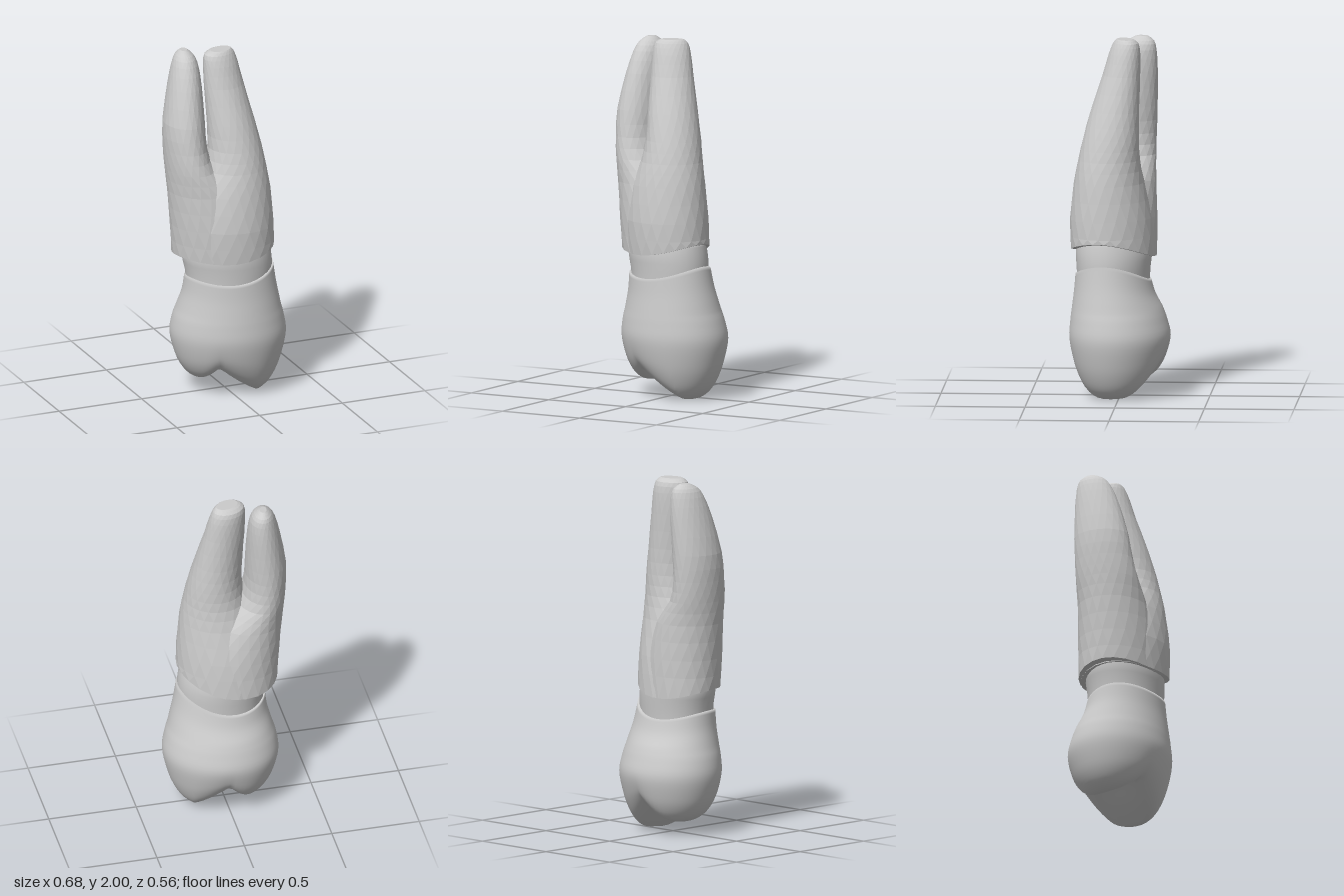
import * as THREE from 'three';

// One-dimensional Catmull-Rom interpolation
function spline(a, b, c, d, t) {
  const m0 = (c - a) / 2, m1 = (d - b) / 2;
  return (2 * t ** 3 - 3 * t * t + 1) * b + (t ** 3 - 2 * t * t + t) * m0
    + (3 * t * t - 2 * t ** 3) * c + (t ** 3 - t * t) * m1;
}

// Closed loft through skewed ellipses given bottom to top as [y, xMin, xMax, zMin, zMax].
// skew is [bottom, top]; warp(x, y, z, v) returns the new height, v runs 0..1 up the loft.
function loft(name, rows, { sides, steps, skew, flat = false, warp = (x, y) => y }) {
  const last = (rows.length - 1) * steps, pos = [], index = [];
  const row = i => rows[Math.min(Math.max(i, 0), rows.length - 1)];
  const add = (x, y, z, v) => pos.push(x, warp(x, y, z, v), z);
  const centres = [];
  for (let i = 0; i <= last; i++) {
    const k = Math.floor(i / steps), t = i / steps - k;
    const [y, x0, x1, z0, z1] = row(k).map((_, c) =>
      spline(row(k - 1)[c], row(k)[c], row(k + 1)[c], row(k + 2)[c], t));
    const cx = (x0 + x1) / 2, cz = (z0 + z1) / 2;
    const phase = Math.asin(THREE.MathUtils.lerp(skew[0], skew[1], i / last));
    if (i === 0 || i === last) centres.push([cx, y, cz, i / last]);
    for (let j = 0; j < sides; j++) {
      const a = (j + (flat ? (i % 2) / 2 : 0)) / sides * Math.PI * 2;
      add(cx + (x1 - x0) / 2 * Math.cos(a), y, cz + (z1 - z0) / 2 * Math.sin(a + phase), i / last);
    }
  }
  centres.forEach(c => add(...c));
  const bottom = (last + 1) * sides, top = bottom + 1;
  for (let j = 0; j < sides; j++) {
    const n = (j + 1) % sides;
    for (let i = 0; i < last; i++) {
      const a = i * sides + j, b = i * sides + n, c = a + sides, d = b + sides;
      // Staggered rows alternate the diagonal
      if (flat && i % 2) index.push(a, c, d, a, d, b);
      else index.push(a, c, b, b, c, d);
    }
    index.push(bottom, j, n, top, last * sides + n, last * sides + j);
  }
  const geometry = new THREE.BufferGeometry();
  geometry.setAttribute('position', new THREE.Float32BufferAttribute(pos, 3));
  geometry.setIndex(index);
  geometry.computeVertexNormals();
  const mesh = new THREE.Mesh(geometry,
    new THREE.MeshStandardMaterial({ color: 0xcccccc, flatShading: flat }));
  mesh.name = name;
  return mesh;
}

// Wavy lower edge of the roots and wavy upper edge of the crown
const rootEdge = (x, z) => 0.795 + 0.7 * (x + 0.08) ** 2 + 0.08 * z;
const crownEdge = (x, z) => 0.665 + 0.9 * (x + 0.05) ** 2 + 0.07 * z;

// Two cusps of unequal height with a groove and a central pit between them
function crownWarp(x, y, z) {
  const u = x + 0.2 * z;
  const tall = 0.65 * Math.max(0.17 - u, 0) + 0.6 * (z - 0.08) ** 2;
  const short = 0.07 + 6 * Math.max(u + 0.16, 0) ** 2 + 0.6 * (z + 0.08) ** 2;
  const pit = 0.03 * Math.exp(-((u + 0.05) ** 2) / 0.006 - z * z / 0.015);
  const low = y + (Math.min(tall, short) + pit) * Math.max(0, 1 - y / 0.45) ** 2;
  // Stretch the top rows to meet the wavy edge
  const k = Math.max(0, (y - 0.5) / 0.2);
  return low + k * (crownEdge(x, z) - 0.7);
}

export function createModel() {
  const group = new THREE.Group();
  group.name = 'tooth';

  // Crown: biting surface, rounded belly, narrowing to the neck
  const dome = [[0, 0.02], [0, 0.2], [0, 0.4], [0.005, 0.55], [0.045, 0.7], [0.11, 0.82], [0.2, 0.92]]
    .map(([y, s]) => [y, 0.02 - 0.32 * s, 0.02 + 0.32 * s, -0.28 * s, 0.28 * s]);
  group.add(loft('crown', [...dome,
    [0.33, -0.30, 0.34, -0.28, 0.28],
    [0.43, -0.29, 0.325, -0.26, 0.275],
    [0.5, -0.27, 0.305, -0.235, 0.267],
    [0.6, -0.245, 0.275, -0.195, 0.255],
    [0.7, -0.235, 0.255, -0.172, 0.247]],
  { sides: 64, steps: 4, skew: [0.1, 0.1], warp: crownWarp }));

  // Neck between crown and roots
  group.add(loft('neck', [
    [0.6, -0.22, 0.235, -0.16, 0.235],
    [0.72, -0.23, 0.248, -0.167, 0.24],
    [0.82, -0.25, 0.24, -0.175, 0.245],
    [0.89, -0.23, 0.225, -0.15, 0.23]],
  { sides: 32, steps: 2, skew: [0.12, 0.17] }));

  // Roots: two tapering lofts that merge into one trunk
  const rootOptions = {
    sides: 22, steps: 2, flat: true,
    warp: (x, y, z, v) => v === 0 ? rootEdge(x, z) : y,
  };
  group.add(loft('mainRoot', [
    [0.83, -0.26, 0.252, -0.2, 0.272],
    [1.0, -0.25, 0.248, -0.18, 0.278],
    [1.2, -0.2, 0.232, -0.135, 0.257],
    [1.33, -0.14, 0.212, -0.112, 0.232],
    [1.45, -0.112, 0.192, -0.107, 0.205],
    [1.6, -0.112, 0.16, -0.107, 0.165],
    [1.8, -0.118, 0.115, -0.112, 0.1],
    [1.92, -0.118, 0.09, -0.112, 0.065],
    [1.98, -0.11, 0.07, -0.1, 0.04],
    [2.0, -0.075, 0.05, -0.07, 0.02]], { ...rootOptions, skew: [0.17, -0.25] }));
  group.add(loft('smallRoot', [
    [0.83, -0.298, 0.2, -0.2, 0.24],
    [1.0, -0.31, 0.16, -0.2, 0.23],
    [1.2, -0.325, 0.06, -0.192, 0.195],
    [1.33, -0.336, -0.07, -0.188, 0.165],
    [1.45, -0.343, -0.112, -0.19, 0.14],
    [1.6, -0.342, -0.116, -0.195, 0.115],
    [1.8, -0.306, -0.118, -0.197, 0.06],
    [1.92, -0.275, -0.128, -0.19, 0.01],
    [1.97, -0.25, -0.15, -0.175, -0.03],
    [1.995, -0.22, -0.18, -0.14, -0.08]], { ...rootOptions, skew: [0.17, -0.2] }));
  return group;
}
